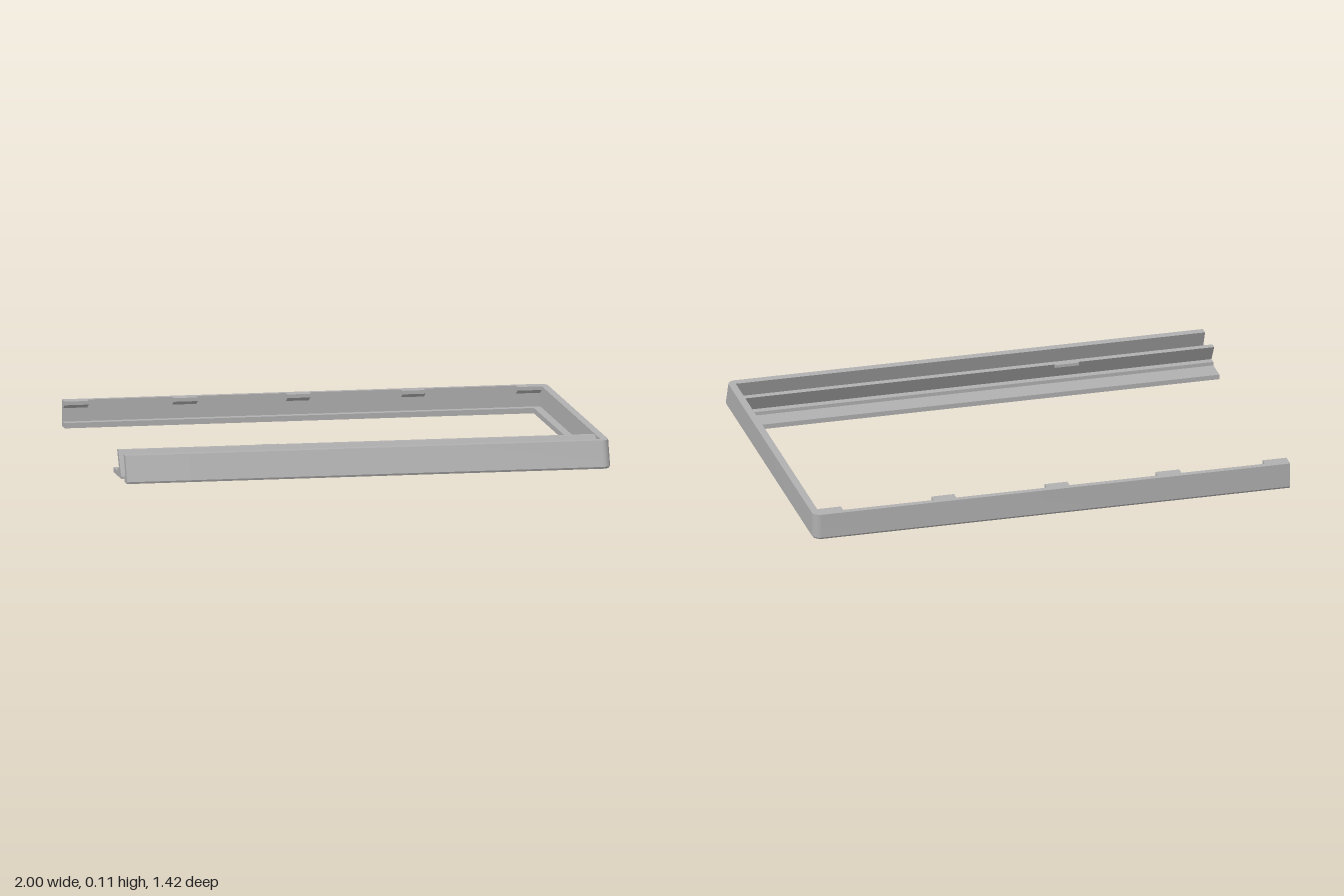
import * as THREE from 'three';
import { toCreasedNormals } from 'three/addons/utils/BufferGeometryUtils.js';

const H = 0.11;      // frame height
const LEAN = 0.045;  // how far the front wall leans back at the top
const CHAMFER = 0.008;

export function createModel() {
  const group = new THREE.Group();
  const grey = new THREE.MeshStandardMaterial({ color: 0xb0b0b0 });
  grey.name = 'grey';

  function add(name, geometry) {
    const mesh = new THREE.Mesh(geometry, grey);
    mesh.name = name;
    group.add(mesh);
  }

  function box(name, x0, x1, y0, y1, z0, z1) {
    const g = new THREE.BoxGeometry(x1 - x0, y1 - y0, z1 - z0);
    g.translate((x0 + x1) / 2, (y0 + y1) / 2, (z0 + z1) / 2);
    add(name, g);
  }

  // Profile of [z, y] points extruded along x
  function bar(name, points, x0, x1) {
    const shape = new THREE.Shape(points.map(([z, y]) => new THREE.Vector2(z, y)));
    const g = new THREE.ExtrudeGeometry(shape, { depth: x1 - x0, bevelEnabled: false });
    g.rotateY(-Math.PI / 2);
    g.translate(x1, 0, 0);
    add(name, g);
  }

  // Three-sided wall, open on the right, with rounded outer corners
  const r = 0.035;
  const plan = new THREE.Shape();
  plan.moveTo(-1, -0.71);
  plan.lineTo(1 - r, -0.71);
  plan.absarc(1 - r, -0.71 + r, r, -Math.PI / 2, 0);
  plan.lineTo(1, 0.71 - r);
  plan.absarc(1 - r, 0.71 - r, r, 0, Math.PI / 2);
  plan.lineTo(-1, 0.71);
  plan.lineTo(-1, 0.685);
  plan.lineTo(0.97, 0.685);
  plan.lineTo(0.97, -0.675);
  plan.lineTo(-1, -0.675);
  plan.closePath();

  function wall(name, y0, y1) {
    let g = new THREE.ExtrudeGeometry(plan, { depth: y1 - y0, bevelEnabled: false, curveSegments: 8 });
    g.rotateX(-Math.PI / 2);
    g.translate(0, y0, 0);
    const p = g.attributes.position;
    for (let i = 0; i < p.count; i++) {
      let x = p.getX(i), z = p.getZ(i);
      const y = p.getY(i);
      if (y < 0.001) { // chamfer the bottom outer edge
        if (x > 0.972) x -= 0.006;
        if (z < -0.69) z += 0.006;
        if (z > 0.69) z -= 0.006;
      }
      if (z > 0.6) z -= LEAN * y / H;
      p.setXYZ(i, x, y, z);
    }
    g = toCreasedNormals(g, 0.5);
    add(name, g);
  }
  wall('outerWall', CHAMFER, H);
  wall('bottomChamfer', 0, CHAMFER);

  // Inner ledges around the bottom
  box('backLedge', -1, 0.972, 0, 0.022, -0.69, -0.65);
  box('sideLedge', 0.937, 0.972, 0, 0.022, -0.65, 0.405);
  box('frontLip', -1, 0.972, 0, 0.018, 0.65, 0.69);
  box('cornerPlate', 0.865, 0.972, 0, 0.018, 0.57, 0.655);

  // Front shelf with its leaning rib, which stands parallel to the front wall
  bar('frontShelf', [
    [0.405, 0], [0.575, 0], [0.575, 0.01], [0.515, 0.107], [0.487, 0.107],
    [0.53, 0.035], [0.5, 0.035], [0.5, 0.02], [0.405, 0.02],
  ], -1, 0.972);
  box('ribBump', -0.43, -0.33, 0.095, 0.107, 0.48, 0.5);

  // Wedge clips along the top of the back wall
  const clips = [[-1, -0.9], [-0.55, -0.45], [-0.08, 0.015], [0.395, 0.49], [0.87, 0.972]];
  for (const [x0, x1] of clips) {
    bar('backClip', [[-0.69, 0.075], [-0.65, 0.095], [-0.65, H], [-0.69, H]], x0, x1);
  }
  return group;
}
